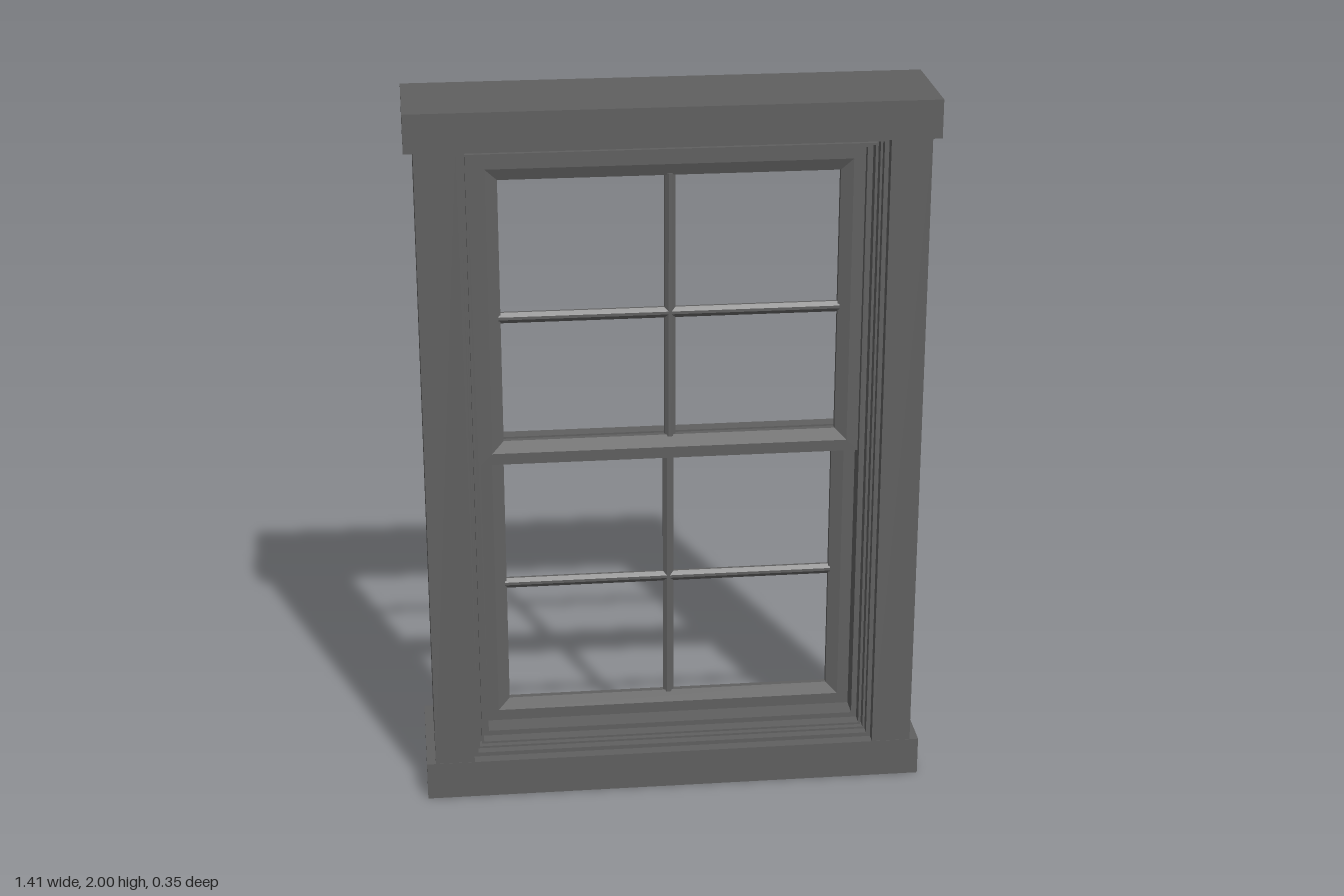
import * as THREE from 'three';

const paint = new THREE.MeshStandardMaterial({ color: 0x606060 });
paint.name = 'dark grey paint';

function add(parent, name, geometry, x = 0, y = 0, z = 0) {
  const mesh = new THREE.Mesh(geometry, paint);
  mesh.name = name;
  mesh.position.set(x, y, z);
  parent.add(mesh);
  return mesh;
}

// Box given by its limits on each axis
function block(parent, name, x0, x1, y0, y1, z0, z1) {
  return add(parent, name, new THREE.BoxGeometry(x1 - x0, y1 - y0, z1 - z0),
    (x0 + x1) / 2, (y0 + y1) / 2, (z0 + z1) / 2);
}

// Mitred rectangular frame: profile points are [inset, z], front to back
function mitredFrame(halfW, y0, y1, profile) {
  const corners = [[-1, 0], [1, 0], [1, 1], [-1, 1]];
  const point = (i, j) => {
    const [sx, top] = corners[i % 4];
    const [inset, z] = profile[j % profile.length];
    return [sx * (halfW - inset), top ? y1 - inset : y0 + inset, z];
  };
  const pos = [];
  for (let i = 0; i < 4; i++) {
    for (let j = 0; j < profile.length; j++) {
      const a = point(i, j), b = point(i + 1, j), c = point(i + 1, j + 1), d = point(i, j + 1);
      pos.push(...a, ...b, ...c, ...a, ...c, ...d);
    }
  }
  const geo = new THREE.BufferGeometry();
  geo.setAttribute('position', new THREE.Float32BufferAttribute(pos, 3));
  geo.computeVertexNormals();
  return geo;
}

// Bevelled glazing bar along x, centred
function barGeometry(length) {
  const s = new THREE.Shape([[-0.015, 0.004], [-0.015, -0.004], [-0.004, -0.012],
    [0.004, -0.012], [0.015, -0.004], [0.015, 0.004], [0.004, 0.012], [-0.004, 0.012]]
    .map(([a, b]) => new THREE.Vector2(b, a)));
  return new THREE.ExtrudeGeometry(s, { depth: length, bevelEnabled: false })
    .translate(0, 0, -length / 2).rotateY(Math.PI / 2);
}

// Sash with bevelled inner edge and crossed glazing bars
function sash(name, y0, y1, barY, z) {
  const g = new THREE.Group();
  g.name = name;
  g.position.z = z;
  const h = 0.02, w = 0.065;
  add(g, 'sashFrame', mitredFrame(0.525, y0, y1,
    [[0, h], [0.032, h], [w, 0.008], [w, -0.008], [0.032, -h], [0, -h]]));
  add(g, 'horizontalBar', barGeometry(0.93), 0, barY, 0);
  add(g, 'verticalBar', barGeometry(y1 - y0 - 2 * w + 0.01).rotateZ(Math.PI / 2), 0, (y0 + y1) / 2, 0);
  return g;
}

export function createModel() {
  const model = new THREE.Group();
  model.name = 'sashWindow';
  const back = -0.14, front = 0.177;

  // Outer casing
  block(model, 'header', -0.705, 0.705, 1.895, 2, back, front);
  block(model, 'base', -0.705, 0.705, 0, 0.11, back, front);
  block(model, 'innerSill', -0.705, 0.705, 0.087, 0.11, -0.177, back);
  for (const s of [-1, 1]) {
    add(model, s > 0 ? 'leftPost' : 'rightPost',
      new THREE.BoxGeometry(0.11, 1.785, front - back - 0.002), s * 0.625, 1.0025, (front + back) / 2);
  }

  // Stepped tracks around the opening
  add(model, 'trackFrame', mitredFrame(0.57, 0.11, 1.895, [
    [0, 0.145], [0.012, 0.145], [0.012, 0.12], [0.018, 0.12], [0.018, 0.09], [0.024, 0.09],
    [0.024, 0.115], [0.03, 0.115], [0.03, 0.08], [0.045, 0.08],
    [0.045, -0.03], [0.03, -0.03], [0.03, -0.06], [0.024, -0.06], [0.024, -0.04],
    [0.018, -0.04], [0.018, -0.08], [0.012, -0.08], [0.012, -0.105], [0, -0.105]]));

  // Sliding sashes, the upper one to the front
  model.add(sash('upperSash', 0.97, 1.845, 1.392, 0.038));
  model.add(sash('lowerSash', 0.155, 1.035, 0.583, -0.002));

  // Lift handle on the inside of the lower sash
  const handle = new THREE.Group();
  handle.name = 'liftHandle';
  block(handle, 'handlePlate', -0.06, 0.06, 0.168, 0.185, -0.027, -0.02);
  block(handle, 'handleLip', -0.06, 0.06, 0.18, 0.186, -0.045, -0.025);
  block(handle, 'handleCatch', 0.045, 0.075, 0.18, 0.195, -0.04, -0.02);
  model.add(handle);

  return model;
}
